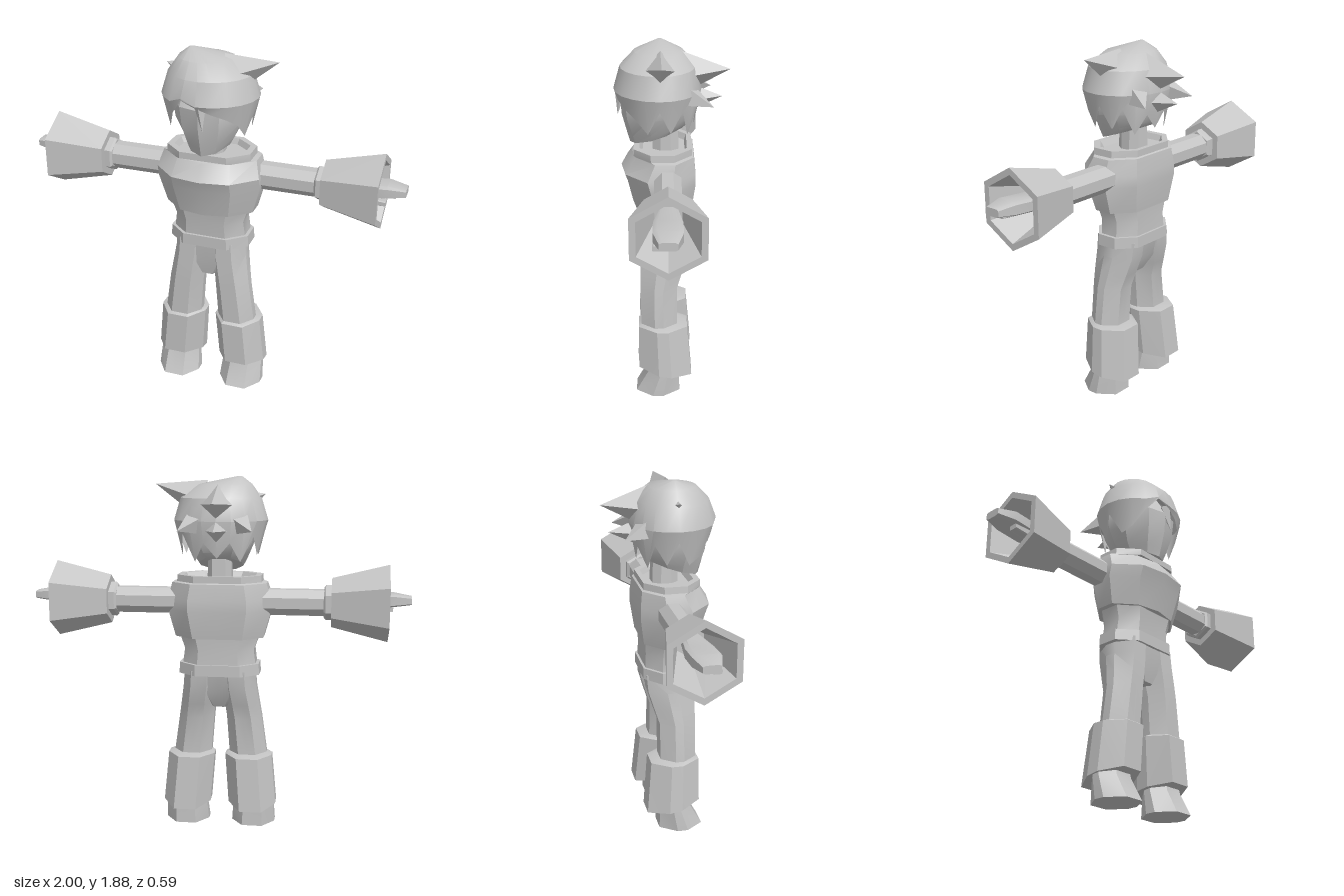
import * as THREE from 'three';
import { toCreasedNormals } from 'three/addons/utils/BufferGeometryUtils.js';

const V = (x, y, z) => new THREE.Vector3(x, y, z);

// Chamfered ten-sided ring; ridge pushes the front centre out, slope lifts the back
function ring(y, x0, x1, zb, zf, { cx = 0.22, cz = 0.3, ridge = 0, slope = 0 } = {}) {
  const m = (x0 + x1) / 2, ax = (x1 - x0) * cx, az = (zf - zb) * cz;
  return [[m, zf], [x1 - ax, zf - ridge], [x1, zf - ridge - az], [x1, zb + az], [x1 - ax, zb],
    [m, zb], [x0 + ax, zb], [x0, zb + az], [x0, zf - ridge - az], [x0 + ax, zf - ridge]]
    .map(([x, z]) => V(x, y + slope * (zf - z), z));
}

// Skin rings from bottom to top, with optional end caps
function loft(rings, bottom = true, top = true) {
  const p = [], n = rings[0].length;
  const tri = (...v) => v.forEach((q) => p.push(q.x, q.y, q.z));
  const mid = (r) => r.reduce((s, q) => s.add(q), V(0, 0, 0)).divideScalar(n);
  const first = rings[0], last = rings[rings.length - 1], c0 = mid(first), c1 = mid(last);
  for (let i = 0; i < n; i++) {
    const j = (i + 1) % n;
    for (let k = 0; k + 1 < rings.length; k++) {
      const a = rings[k], b = rings[k + 1];
      tri(a[i], a[j], b[j]);
      tri(a[i], b[j], b[i]);
    }
    if (bottom) tri(c0, first[j], first[i]);
    if (top) tri(c1, last[i], last[j]);
  }
  const g = new THREE.BufferGeometry();
  g.setAttribute('position', new THREE.Float32BufferAttribute(p, 3));
  return g;
}

// Mirror in x, keeping faces outward
function mirrored(geo) {
  const g = geo.index ? geo.toNonIndexed() : geo.clone();
  g.scale(-1, 1, 1);
  const p = g.attributes.position, a = V(0, 0, 0), b = V(0, 0, 0);
  for (let i = 0; i < p.count; i += 3) {
    a.fromBufferAttribute(p, i + 1);
    b.fromBufferAttribute(p, i + 2);
    p.setXYZ(i + 1, b.x, b.y, b.z);
    p.setXYZ(i + 2, a.x, a.y, a.z);
  }
  return g;
}

export function createModel() {
  const root = new THREE.Group();
  root.name = 'figure';
  const grey = new THREE.MeshStandardMaterial({ color: 0xc4c4c4, side: THREE.DoubleSide });
  grey.name = 'plain grey';

  const add = (name, geo) => {
    const mesh = new THREE.Mesh(toCreasedNormals(geo, 0.5), grey);
    mesh.name = name;
    root.add(mesh);
  };
  const pair = (name, geo) => {
    add('left' + name, geo);
    add('right' + name, mirrored(geo));
  };
  const sym = (y, w, zb, zf, o) => ring(y, -w, w, zb, zf, o);

  // Torso: waist, belt, pelvis
  add('waist', loft([sym(0.86, 0.2, -0.09, 0.16), sym(0.98, 0.185, -0.085, 0.165),
    sym(1.07, 0.215, -0.09, 0.18)]));
  add('belt', loft([sym(0.845, 0.215, -0.1, 0.175), sym(0.905, 0.212, -0.1, 0.175)]));
  add('pelvis', loft([sym(0.66, 0.05, -0.01, 0.13), sym(0.75, 0.12, -0.06, 0.15),
    sym(0.87, 0.19, -0.088, 0.162)]));

  // Jacket with a raised, hollow collar
  const chest = { ridge: 0.025 };
  add('jacket', loft([
    sym(1.045, 0.235, -0.1, 0.205, chest), sym(1.19, 0.275, -0.12, 0.24, chest),
    sym(1.25, 0.275, -0.12, 0.262, chest), sym(1.335, 0.25, -0.11, 0.205, chest),
    sym(1.34, 0.225, -0.1, 0.195), sym(1.375, 0.222, -0.1, 0.195),
    sym(1.375, 0.19, -0.075, 0.165), sym(1.345, 0.175, -0.065, 0.15)]));
  add('neck', loft([sym(1.33, 0.065, -0.035, 0.1), sym(1.5, 0.06, -0.03, 0.095)]));

  // Legs, boots and feet
  const hex = { cx: 0.27, cz: 0.38 };
  pair('Leg', loft([ring(0.34, 0.05, 0.255, -0.025, 0.165, hex), ring(0.4, 0.05, 0.253, -0.025, 0.165, hex),
    ring(0.6, 0.035, 0.225, -0.025, 0.168, hex), ring(0.68, 0.025, 0.212, -0.05, 0.168, hex),
    ring(0.78, 0.01, 0.197, -0.08, 0.165, hex), ring(0.87, 0.005, 0.19, -0.088, 0.162, hex)]));
  pair('Boot', loft([ring(0.148, 0.06, 0.3, -0.08, 0.16, { ...hex, slope: -0.17 }),
    ring(0.15, 0.05, 0.308, -0.105, 0.18, { ...hex, slope: -0.17 }),
    ring(0.39, 0.03, 0.283, -0.08, 0.18, hex), ring(0.4, 0.05, 0.255, -0.03, 0.165, hex)]));
  pair('Foot', loft([ring(0, 0.065, 0.3, -0.04, 0.195, hex),
    ring(0.12, 0.075, 0.295, -0.035, 0.13, hex), ring(0.17, 0.08, 0.29, -0.035, 0.12, hex)]));

  // Arms: octagonal limb, flared hollow hexagonal sleeve, mitten and thumb
  const along = (pts, sides) => new THREE.LatheGeometry(
    pts.map(([r, x]) => new THREE.Vector2(r, x)), sides, Math.PI / sides)
    .rotateZ(-Math.PI / 2).translate(0, 1.235, 0.022);
  pair('Arm', along([[0.073, 0.2], [0.073, 0.58]], 8));
  pair('Sleeve', along([[0, 0.55], [0.08, 0.55], [0.092, 0.56], [0.092, 0.59], [0.13, 0.59],
    [0.203, 0.885], [0.168, 0.885], [0.075, 0.62], [0, 0.62]], 6));
  const slab = { cx: 0.15, cz: 0.15 };
  pair('Hand', loft([ring(0.6, -1.275, -1.215, -0.02, 0.065, slab),
    ring(0.78, -1.28, -1.215, -0.045, 0.092, slab), ring(0.91, -1.29, -1.225, -0.045, 0.092, slab),
    ring(1.0, -1.275, -1.235, -0.02, 0.065, slab)]).rotateZ(-Math.PI / 2));
  pair('Thumb', loft([ring(0.7, -1.23, -1.18, 0.03, 0.085, slab),
    ring(0.91, -1.215, -1.19, 0.05, 0.095, slab)]).rotateZ(-Math.PI / 2));

  // Face with the jaw rising towards the neck
  const face = { ridge: 0.03 };
  add('face', loft([sym(1.375, 0.115, -0.05, 0.215, { ...face, slope: 0.35 }),
    sym(1.42, 0.135, -0.08, 0.228, { ...face, slope: 0.25 }),
    sym(1.52, 0.17, -0.1, 0.255, { ...face, slope: 0.1 }),
    sym(1.63, 0.185, -0.12, 0.265, face), sym(1.76, 0.16, -0.1, 0.19, face)]));

  // Hair cap with a jagged rim, starting at the front and turning to the left side
  const rim = [1.65, 1.62, 1.59, 1.55, 1.475, 1.6, 1.48, 1.59, 1.45, 1.55,
    1.47, 1.55, 1.45, 1.58, 1.48, 1.6, 1.475, 1.51, 1.6, 1.68];
  const hairRing = (f, height, cx = 0) => rim.map((r, i) => {
    const a = (i / rim.length) * Math.PI * 2, k = f(r), c = Math.cos(a);
    return V(cx + 0.25 * k * Math.sin(a), height(r), 0.06 + (c > 0 ? 0.235 : 0.21) * k * c);
  });
  add('hairCap', loft([
    hairRing((r) => 0.8 + (r - 1.45) * 0.85, (r) => r),
    hairRing(() => 1, (r) => Math.max(1.66, r + 0.01)),
    hairRing(() => 0.86, () => 1.775),
    hairRing(() => 0.56, () => 1.845, -0.025),
    hairRing(() => 0.05, () => 1.885, -0.1)], false));

  // Pointed tufts: base, tip, base radius
  const tufts = [
    ['sideTuft', V(0.1, 1.77, 0.06), V(0.345, 1.845, 0.05), 0.1],
    ['smallSideTuft', V(-0.1, 1.745, 0.06), V(-0.235, 1.795, 0.06), 0.08],
    ['backTuft', V(0, 1.74, -0.05), V(0, 1.755, -0.295), 0.11],
    ['lowerBackTuft', V(0, 1.61, -0.05), V(0, 1.615, -0.255), 0.09],
    ['leftBackTuft', V(0.09, 1.66, -0.04), V(0.19, 1.615, -0.205), 0.09],
    ['rightBackTuft', V(-0.09, 1.66, -0.04), V(-0.19, 1.615, -0.205), 0.09],
    ['fringeLock', V(0.01, 1.67, 0.255), V(0.03, 1.53, 0.275), 0.035],
  ];
  for (const [name, base, tip, r] of tufts) {
    const d = tip.clone().sub(base), h = d.length();
    const g = new THREE.ConeGeometry(r, h, 4).translate(0, h / 2, 0);
    g.applyQuaternion(new THREE.Quaternion().setFromUnitVectors(V(0, 1, 0), d.normalize()));
    add(name, g.translate(base.x, base.y, base.z));
  }
  return root;
}
